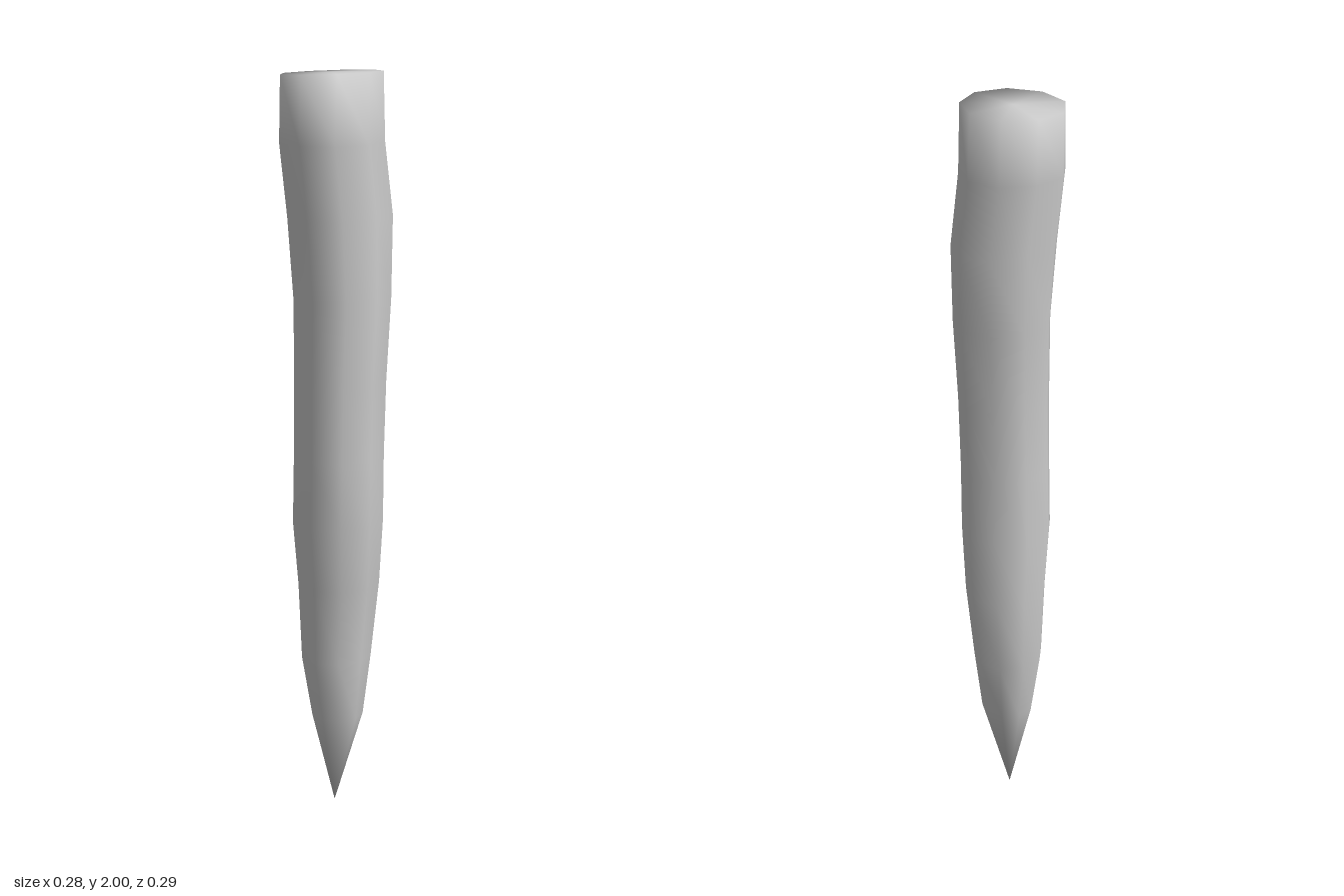
import * as THREE from 'three';

const SIDES = 9;

// Cross-sections of the shaft from bottom to top: [y, xMin, xMax, zMin, zMax]
const RINGS = [
  [0.26, -0.063, 0.078, -0.06, 0.076],
  [0.43, -0.085, 0.095, -0.085, 0.103],
  [0.64, -0.1, 0.111, -0.108, 0.11],
  [0.82, -0.1, 0.134, -0.108, 0.132],
  [1.0, -0.096, 0.135, -0.108, 0.13],
  [1.2, -0.095, 0.135, -0.115, 0.128],
  [1.42, -0.107, 0.139, -0.13, 0.124],
  [1.63, -0.126, 0.126, -0.147, 0.13],
  [1.82, -0.137, 0.12, -0.125, 0.147],
  [1.993, -0.145, 0.115, -0.122, 0.138],
];

// Pointed, slightly crooked nine-sided shaft with a flat, tilted top
function stakeGeometry() {
  const positions = [0.007, 0, 0.018]; // tip
  const index = [];
  const last = RINGS.length - 1;
  const id = (ring, j) => 1 + ring * SIDES + (j % SIDES);

  RINGS.forEach(([y, x0, x1, z0, z1], ring) => {
    const rx = (x1 - x0) / 1.97;
    const rz = (z1 - z0) / 1.94;
    for (let j = 0; j < SIDES; j++) {
      const a = (j / SIDES) * Math.PI * 2;
      const x = (x0 + x1) / 2 + rx * Math.sin(a);
      const tilt = ring === last ? 0.055 * x : 0;
      positions.push(x, y + tilt, z0 + rz - rz * Math.cos(a));
    }
  });
  const centre = positions.length / 3;
  positions.push(-0.015, 1.993, 0.01);

  for (let j = 0; j < SIDES; j++) {
    index.push(0, id(0, j), id(0, j + 1)); // point
    for (let r = 0; r < last; r++) {
      index.push(id(r, j), id(r + 1, j), id(r + 1, j + 1));
      index.push(id(r, j), id(r + 1, j + 1), id(r, j + 1));
    }
    index.push(centre, id(last, j + 1), id(last, j)); // top cap
  }

  const geometry = new THREE.BufferGeometry();
  geometry.setAttribute('position', new THREE.Float32BufferAttribute(positions, 3));
  geometry.setIndex(index);
  geometry.computeVertexNormals();
  return geometry;
}

export function createModel() {
  const group = new THREE.Group();
  group.name = 'woodenStake';
  const stake = new THREE.Mesh(
    stakeGeometry(),
    new THREE.MeshStandardMaterial({ color: 0xcccccc })
  );
  stake.name = 'stake';
  group.add(stake);
  return group;
}
